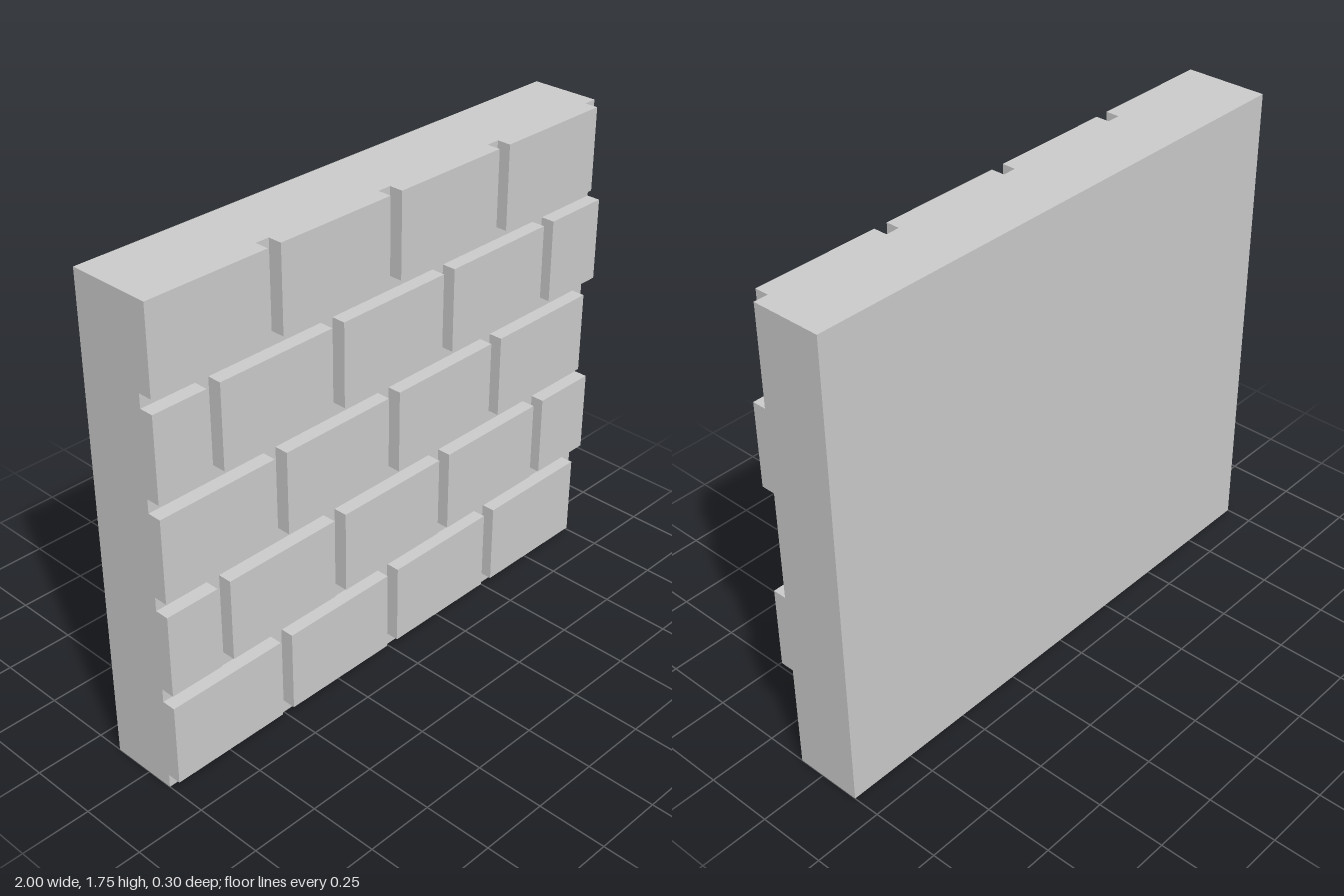
import * as THREE from 'three';

const WIDTH = 2, HEIGHT = 1.75, BACK = -0.15, FACE = 0.1, FRONT = 0.15;
const JOINT = 0.05, PITCH_X = 0.5, PITCH_Y = 0.35, ROWS = 5;

export function createModel() {
  const wall = new THREE.Group();
  wall.name = 'brickWall';
  const material = new THREE.MeshStandardMaterial({ color: 0xcccccc, flatShading: true });

  // Box given by its lower and upper corners
  function addBox(parent, name, x0, x1, y0, y1, z0, z1) {
    const mesh = new THREE.Mesh(new THREE.BoxGeometry(x1 - x0, y1 - y0, z1 - z0), material);
    mesh.position.set((x0 + x1) / 2, (y0 + y1) / 2, (z0 + z1) / 2);
    mesh.name = name;
    parent.add(mesh);
  }

  // Solid slab whose front shows as the mortar joints
  addBox(wall, 'mortarSlab', -WIDTH / 2, WIDTH / 2, 0, HEIGHT, BACK, FACE);

  // Running-bond courses: every second one is shifted half a brick and cut at the wall ends
  for (let row = 0; row < ROWS; row++) {
    const course = new THREE.Group();
    course.name = `brickCourse${row + 1}`;
    const y0 = JOINT + row * PITCH_Y;
    const start = -WIDTH / 2 - (row % 2) * PITCH_X / 2;
    for (let x = start, n = 1; x < WIDTH / 2 - 0.01; x += PITCH_X, n++) {
      const x0 = Math.max(x, -WIDTH / 2);
      const x1 = Math.min(x + PITCH_X - JOINT, WIDTH / 2);
      addBox(course, `brick${n}`, x0, x1, y0, y0 + PITCH_Y - JOINT, FACE, FRONT);
    }
    wall.add(course);
  }
  return wall;
}
